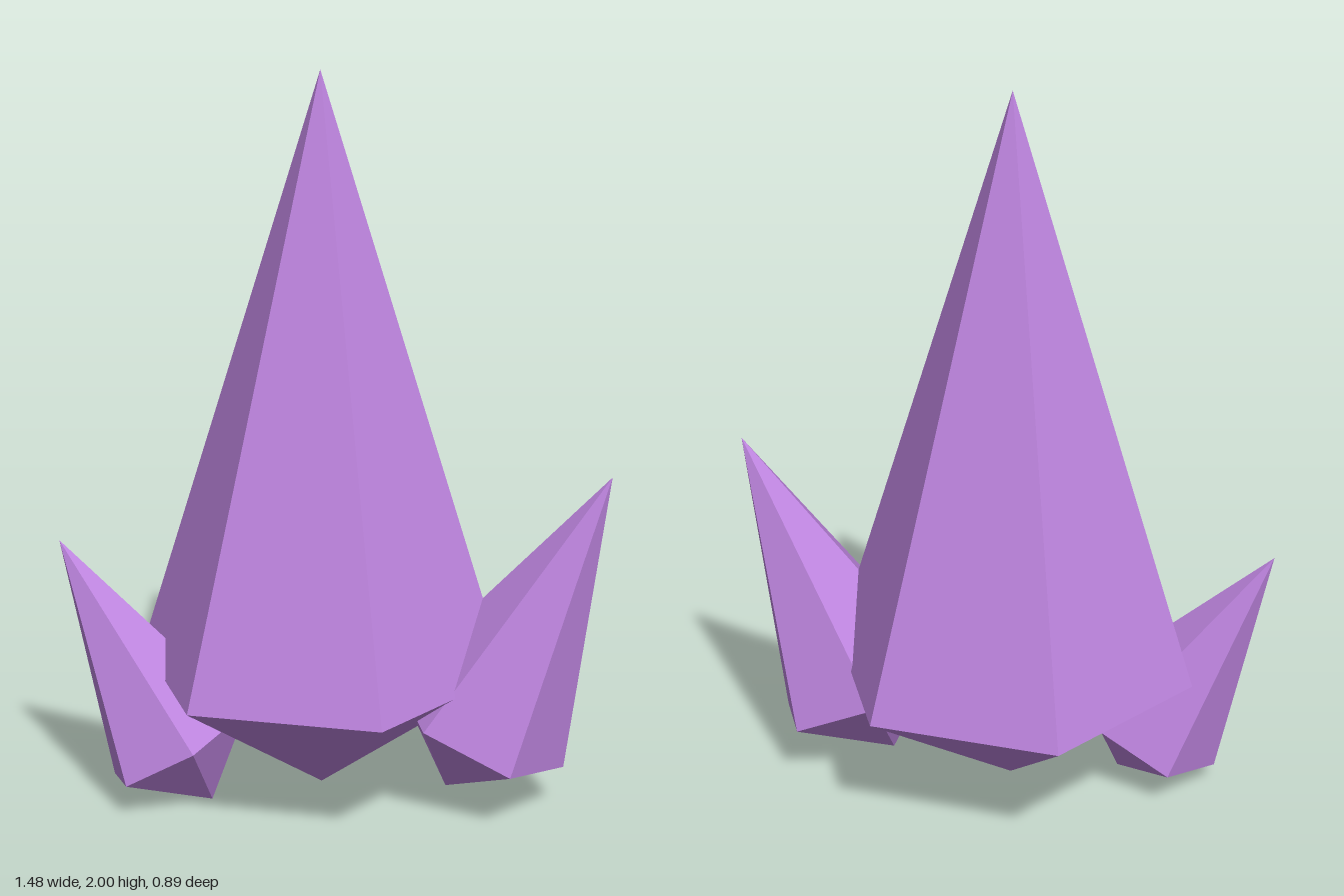
import * as THREE from 'three';

const crystalPurple = new THREE.MeshStandardMaterial({ color: 0xbd84de, flatShading: true });
crystalPurple.name = 'crystal purple';

// Six-sided double-pointed crystal; its widest ring lies at the local origin.
function crystal(name, radius, up, down, position, tiltDegrees) {
  const profile = [
    new THREE.Vector2(0, -down),
    new THREE.Vector2(radius, 0),
    new THREE.Vector2(0, up),
  ];
  const geometry = new THREE.LatheGeometry(profile, 6, Math.PI / 2);
  const mesh = new THREE.Mesh(geometry, crystalPurple);
  mesh.name = name;
  mesh.position.set(...position);
  mesh.rotation.z = THREE.MathUtils.degToRad(tiltDegrees);
  return mesh;
}

export function createModel() {
  const group = new THREE.Group();
  group.name = 'crystalCluster';
  group.add(
    // Upright central spire
    crystal('mainCrystal', 0.515, 1.617, 0.363, [-0.043, 0.383, 0], 0),
    // Side shards leaning outward
    crystal('leftCrystal', 0.2575, 0.8, 0.216, [0.4, 0.237, 0], -25),
    crystal('rightCrystal', 0.219, 0.655, 0.184, [-0.413, 0.164, 0.146], 30),
  );
  return group;
}
